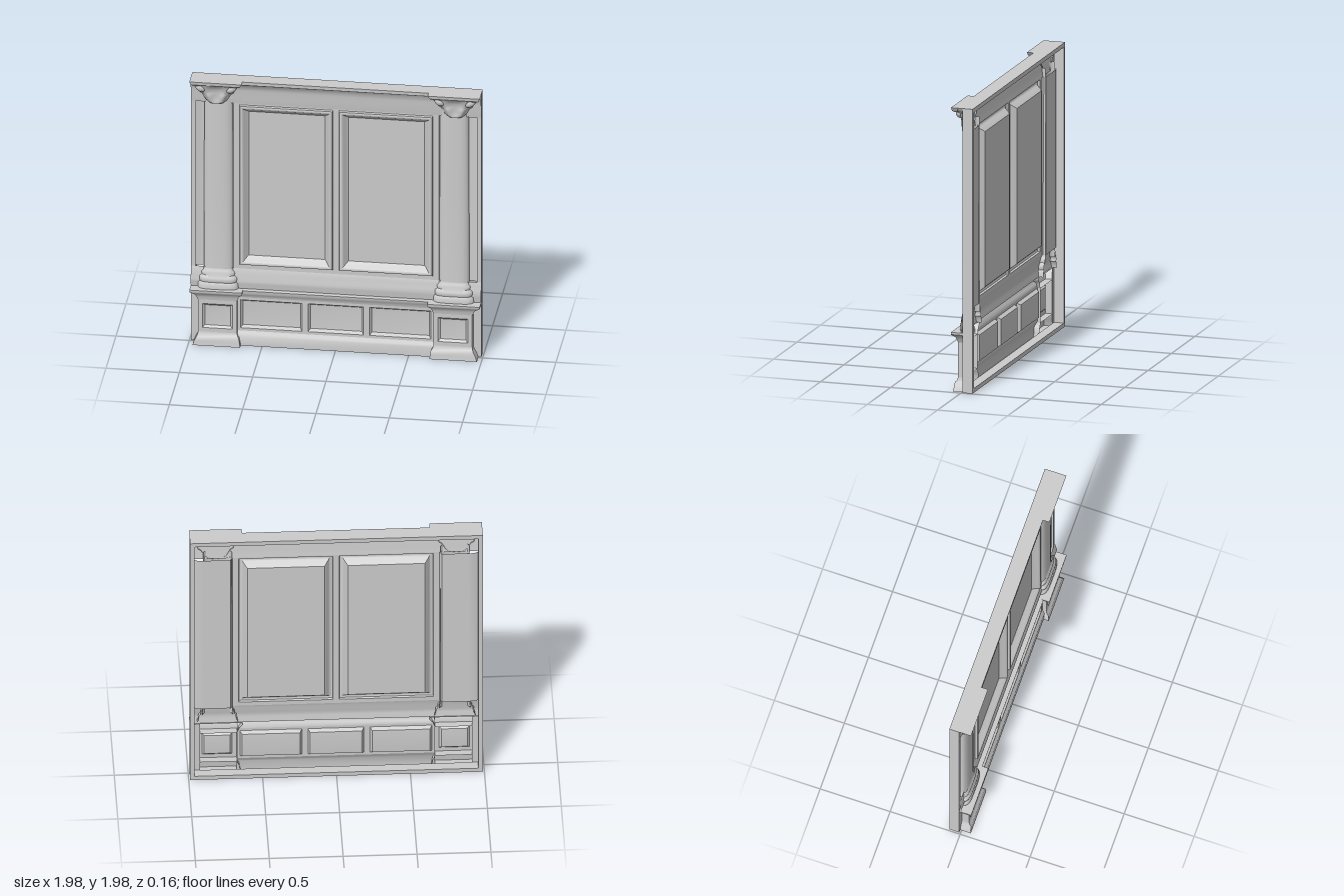
import * as THREE from 'three';
import { toCreasedNormals } from 'three/addons/utils/BufferGeometryUtils.js';

const mat = new THREE.MeshStandardMaterial({ color: 0xcccccc, side: THREE.DoubleSide });
const W = 0.99, H = 1.98, WALL = -0.01;

// Skin a list of equal-length point rows
function skin(name, rows, crease = 0.6) {
  const n = rows[0].length, index = [];
  for (let i = 0; i < rows.length - 1; i++) {
    for (let j = 0; j < n - 1; j++) {
      const a = i * n + j, d = a + n;
      index.push(a, a + 1, d + 1, a, d + 1, d);
    }
  }
  const g = new THREE.BufferGeometry();
  g.setAttribute('position', new THREE.Float32BufferAttribute(rows.flat(2), 3));
  g.setIndex(index);
  const mesh = new THREE.Mesh(toCreasedNormals(g, crease), mat);
  mesh.name = name;
  return mesh;
}

// Rectangular panel: each step is [inset, z], from the rim inwards
function panel(name, x0, x1, y0, y1, steps) {
  const rows = steps.map(([d, z]) => [
    [x0 + d, y0 + d, z], [x1 - d, y0 + d, z], [x1 - d, y1 - d, z],
    [x0 + d, y1 - d, z], [x0 + d, y0 + d, z]]);
  const z = steps[steps.length - 1][1];
  rows.push(rows[0].map(() => [(x0 + x1) / 2, (y0 + y1) / 2, z]));
  return skin(name, rows);
}

// Horizontal moulding: profile of [y, z]
function moulding(name, x0, x1, profile) {
  return skin(name, profile.map(([y, z]) => [[x0, y, z], [x1, y, z]]), 0.9);
}

// Three-sided block: rows of [y, inner x, outer x, z]
function block(name, s, back, rows) {
  return skin(name, rows.map(([y, xi, xo, z]) => {
    const a = Math.min(s * xi, s * xo), b = Math.max(s * xi, s * xo);
    return [[a, y, back], [a, y, z], [b, y, z], [b, y, back]];
  }), 0.7);
}

// Half-round upright: rows of [y, half width, front z, lobe depth]
function halfRound(name, cx, back, rows, seg, power = 1) {
  return skin(name, rows.map(([y, w, z, lobe = 0]) => {
    const row = [];
    for (let j = 0; j <= seg; j++) {
      const t = Math.PI * (1 - j / seg), c = Math.cos(t), sn = Math.sin(t);
      const k = 1 - lobe * (0.5 - 0.5 * Math.cos(6 * t));
      row.push([cx + w * Math.sign(c) * Math.abs(c) ** power, y,
        back + (z - back) * Math.max(sn, 0) ** power * k]);
    }
    return row;
  }), 0.8);
}

function rectPath(x0, x1, y0, y1, Type = THREE.Path) {
  return new Type([[x0, y0], [x1, y0], [x1, y1], [x0, y1]].map(p => new THREE.Vector2(...p)));
}

export function createModel() {
  const model = new THREE.Group();
  model.name = 'wallPanel';

  // Hollow rim at the back
  const rim = rectPath(-W, W, 0, H, THREE.Shape);
  rim.holes.push(rectPath(-W + 0.03, W - 0.03, 0.03, H - 0.03));
  const rimMesh = new THREE.Mesh(
    new THREE.ExtrudeGeometry(rim, { depth: 0.08 + WALL, bevelEnabled: false }), mat);
  rimMesh.position.z = -0.08;
  rimMesh.name = 'rim';
  model.add(rimMesh);

  // Wall sheet, open behind the windows and columns
  const wall = rectPath(-W, W, 0.56, 1.8, THREE.Shape);
  for (const s of [-1, 1]) {
    wall.holes.push(rectPath(s * 0.34 - 0.32, s * 0.34 + 0.32, 0.59, 1.79));
    wall.holes.push(rectPath(s * 0.845 - 0.144, s * 0.845 + 0.144, 0.561, 1.799));
  }
  const wallMesh = new THREE.Mesh(new THREE.ShapeGeometry(wall), mat);
  wallMesh.position.z = WALL;
  wallMesh.name = 'wall';
  model.add(wallMesh);

  // Frieze and top edge
  model.add(moulding('frieze', -W, W, [[1.8, WALL], [1.84, -0.004], [1.9, 0], [1.945, 0.008],
    [1.955, 0.026], [H, 0.028], [H, WALL]]));

  // Sill between the wall and the lower cornice
  model.add(moulding('sill', -W, W, [[0.415, 0.0], [0.45, 0.005], [0.47, 0.008], [0.5, 0.0],
    [0.54, -0.004], [0.56, WALL]]));

  // Dado rails, with three sunk panels between them
  model.add(moulding('dadoBase', -0.67, 0.67, [[0, WALL], [0, 0.03], [0.07, 0.03],
    [0.085, 0.022], [0.105, 0.012]]));
  model.add(moulding('dadoCornice', -0.67, 0.67, [[0.355, 0.012], [0.375, 0.017], [0.39, 0.03],
    [0.412, 0.032], [0.415, 0.0]]));
  for (const [x0, x1] of [[-0.67, -0.21], [-0.21, 0.21], [0.21, 0.67]]) {
    model.add(panel('dadoPanel', x0, x1, 0.105, 0.355,
      [[0, 0.012], [0.02, 0.012], [0.035, -0.012], [0.05, -0.014]]));
  }

  for (const s of [-1, 1]) {
    // Window with a beaded frame and sunk pane
    const cx = s * 0.34;
    model.add(panel('window', cx - 0.32, cx + 0.32, 0.59, 1.79,
      [[0, WALL], [0.005, 0.004], [0.015, 0.008], [0.025, 0.004], [0.033, -0.006],
        [0.05, -0.03], [0.06, -0.04]]));

    // Hollow wall strips either side of the column
    const strip = s > 0
      ? [[0.7, WALL], [0.715, -0.035], [0.89, -0.035], [0.93, -0.035], [0.99, WALL]]
      : [[-0.99, WALL], [-0.93, -0.035], [-0.89, -0.035], [-0.715, -0.035], [-0.7, WALL]];
    model.add(skin('columnRecess', [0.56, 1.8].map(y => strip.map(([x, z]) => [x, y, z]))));

    // Half column with moulded foot
    const col = s * 0.803;
    model.add(halfRound('column', col, -0.035, [[0.5, 0.105, 0.016], [0.56, 0.102, 0.012],
      [1.2, 0.101, 0.011], [1.78, 0.098, 0.008], [1.86, 0.098, 0.008]], 20, 0.8));
    model.add(halfRound('columnFoot', col, -0.035, [[0.415, 0.14, 0.042], [0.45, 0.138, 0.042],
      [0.462, 0.128, 0.034], [0.475, 0.132, 0.038], [0.495, 0.13, 0.036], [0.51, 0.115, 0.024],
      [0.53, 0.116, 0.026], [0.545, 0.104, 0.016], [0.56, 0.102, 0.012]], 20, 0.5));

    // Carved capital: leafy bell, side scrolls and flared top slab
    const capX = s * 0.815;
    model.add(halfRound('capitalBell', capX, -0.01, [[1.795, 0.015, 0.005], [1.805, 0.05, 0.026],
      [1.825, 0.075, 0.036, 0.25], [1.85, 0.088, 0.04, 0.4], [1.87, 0.1, 0.046, 0.35],
      [1.88, 0.118, 0.042, 0.3], [1.91, 0.128, 0.05, 0.35], [1.94, 0.148, 0.062, 0.2],
      [1.955, 0.165, 0.068]], 36, 0.8));
    for (const k of [-1, 1]) {
      const scroll = new THREE.Mesh(new THREE.SphereGeometry(0.04, 14, 10), mat);
      scroll.scale.set(1, 0.7, 0.7);
      scroll.rotation.z = k * 0.6;
      scroll.position.set(capX + k * 0.105, 1.925, 0.03);
      scroll.name = 'capitalScroll';
      model.add(scroll);
    }
    model.add(block('capitalSlab', s, WALL, [[1.945, 0.67, 0.965, 0.055],
      [1.957, 0.648, 0.98, 0.07], [H, 0.635, W, 0.074], [H, 0.635, W, WALL]]));

    // Pedestal: plinth, panelled die and cornice
    model.add(block('plinth', s, WALL, [[0, 0.65, 0.965, WALL], [0, 0.645, 0.97, 0.066],
      [0.03, 0.65, 0.96, 0.062], [0.06, 0.655, 0.945, 0.06], [0.075, 0.665, 0.938, 0.046],
      [0.095, 0.67, 0.935, 0.042]]));
    const a = Math.min(s * 0.67, s * 0.935), b = Math.max(s * 0.67, s * 0.935);
    model.add(panel('pedestalDie', a, b, 0.095, 0.335,
      [[0, WALL], [0, 0.042], [0.03, 0.042], [0.045, 0.026], [0.06, 0.024]]));
    model.add(block('pedestalCornice', s, WALL, [[0.335, 0.67, 0.935, 0.042],
      [0.355, 0.662, 0.945, 0.046], [0.375, 0.655, 0.955, 0.052], [0.39, 0.64, 0.975, 0.068],
      [0.4, 0.632, W, 0.075], [0.415, 0.632, W, 0.075], [0.415, 0.64, W, WALL]]));

    // Flat strip closing the outer edge beside the pedestal
    const e0 = Math.min(s * 0.92, s * W), e1 = Math.max(s * 0.92, s * W);
    model.add(moulding('edgeStrip', e0, e1, [[0, WALL], [0.415, WALL], [0.415, 0]]));
  }
  return model;
}
